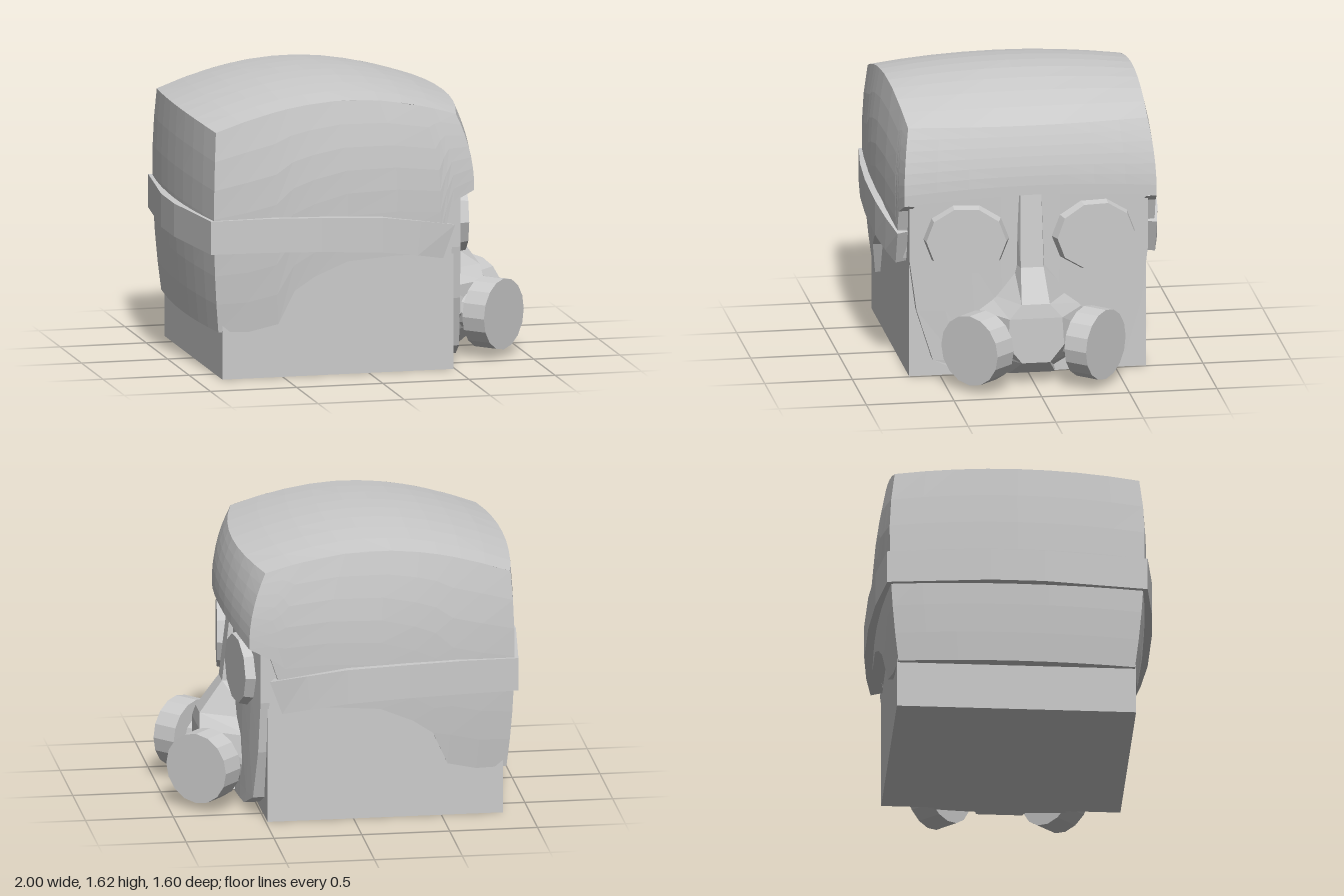
import * as THREE from 'three';

const mat = new THREE.MeshStandardMaterial({ color: 0xcccccc, flatShading: true, side: THREE.DoubleSide });
const lerp = THREE.MathUtils.lerp;
const steps = (a, b, n) => Array.from({ length: n + 1 }, (_, i) => lerp(a, b, i / n));

// Skin a list of cross-sections, each a list of [x, y, z]
function skin(rows) {
  const n = rows[0].length, index = [];
  for (let i = 0; i < rows.length - 1; i++)
    for (let j = 0; j < n - 1; j++) {
      const a = i * n + j, b = a + n;
      index.push(a, b, b + 1, a, b + 1, a + 1);
    }
  const g = new THREE.BufferGeometry();
  g.setAttribute('position', new THREE.Float32BufferAttribute(rows.flat(2), 3));
  g.setIndex(index);
  const flat = g.toNonIndexed();
  flat.computeVertexNormals();
  return flat;
}

// Bulged helmet walls: u runs back to front, w runs right to left
const bulge = (w) => 1 - w * w;
const frontX = (y, w) => 0.5 + 0.07 * bulge(w) + 0.1 * bulge(Math.max(0, y - 0.06 * bulge(w) - 1.05) / 0.42);
const backX = (y, w) => -0.88 - 0.05 * bulge(w) - 0.03 * bulge((y - 0.06 * bulge(w) - 0.95) / 0.6);
const sideZ = (u, y) => 0.665 + 0.045 * bulge(2 * u - 1) + 0.055 * bulge((y - 1.05) / (y > 1.05 ? 0.5 : 0.8));
function wall(u, w, y) {
  return [lerp(backX(y, w), frontX(y, w), u), y, w * sideZ(u, y)];
}
function topY(u, w) {
  const x = lerp(backX(1.45, w), frontX(1.47, w), u);
  return 1.575 - (x > -0.1 ? 0.31 : 0.25) * (x + 0.1) ** 2 + 0.05 * bulge(w);
}

// Lower edge of the helmet side as [x, y]
const sideEdge = [[-0.9, 0.27], [-0.72, 0.27], [-0.55, 0.31], [-0.45, 0.5], [-0.33, 0.58], [-0.14, 0.66],
  [0.15, 0.68], [0.4, 0.67], [0.44, 0.85], [0.48, 0.97], [0.6, 1.03]].map(([x, y]) => [(x + 0.9) / 1.5, y]);

export function createModel() {
  const model = new THREE.Group();
  const add = (name, geometry, parent = model) => {
    const mesh = new THREE.Mesh(geometry, mat);
    mesh.name = name;
    parent.add(mesh);
    return mesh;
  };

  // Head block
  add('head', new THREE.BoxGeometry(1.34, 1.3, 1.35).translate(-0.18, 0.65, 0));

  // Helmet shell
  const helmet = new THREE.Group();
  helmet.name = 'helmet';
  model.add(helmet);
  const ws = steps(-1, 1, 8), us = steps(0, 1, 10), ts = steps(0, 1, 7);
  const browY = (w) => 1.03 + 0.06 * bulge(w);
  add('helmetTop', skin(ws.map((w) => us.map((u) => wall(u, w, topY(u, w))))), helmet);
  add('helmetFront', skin(ts.map((t) => ws.map((w) => wall(1, w, lerp(browY(w), topY(1, w), t))))), helmet);
  add('helmetBack', skin(ws.map((w) => ts.map((t) => wall(0, w, lerp(0.27, topY(0, w), t))))), helmet);
  add('browRim', skin(ws.map((w) => {
    const [x, y, z] = wall(1, w, browY(w));
    return [[x, y, z], [x - 0.13, y - 0.01, z]];
  })), helmet);
  add('napeRim', skin(ws.map((w) => {
    const p = wall(0, w, 0.27);
    return [[-0.84, 0.27, p[2]], p];
  })), helmet);
  for (const s of [1, -1]) {
    const side = sideEdge.map(([u, y]) => ts.map((t) => wall(u, s, lerp(y, topY(u, s), t))));
    const rim = side.map((col) => [[col[0][0], col[0][1], s * 0.66], col[0]]);
    if (s < 0) { side.reverse(); rim.reverse(); }
    const label = s > 0 ? 'left' : 'right';
    add(label + 'HelmetSide', skin(side), helmet);
    add(label + 'HelmetRim', skin(rim), helmet);
  }

  // Band around the back and sides: x, z, bottom, top, bottom setback
  const half = [[-1, 0.15, 0.73, 0.92, 0], [-0.93, 0.735, 0.73, 0.92, 0], [-0.6, 0.78, 0.735, 0.93, 0],
    [-0.3, 0.8, 0.73, 0.925, 0], [0.05, 0.8, 0.71, 0.91, 0], [0.28, 0.775, 0.68, 0.875, 0.02], [0.485, 0.74, 0.65, 0.84, 0.07]];
  const path = [...half.map(([x, z, ...r]) => [x, -z, ...r]).reverse(), ...half];
  const band = path.map(([x, z, lo, hi, d]) => [
    [x - d, lo, z], [x, hi, z], [x * 0.92, hi, z * 0.9], [x * 0.92 - d, lo, z * 0.9], [x - d, lo, z]]);
  const cap = (ring) => ring.map(() => [0, 1, 2].map((k) => (ring[0][k] + ring[2][k]) / 2));
  add('band', skin([cap(band[0]), ...band, cap(band[band.length - 1])]));

  // Mask plate: rows of [y, half width]
  const mask = new THREE.Group();
  mask.name = 'mask';
  model.add(mask);
  const plate = [[0.03, 0.37], [0.11, 0.55], [0.4, 0.64], [0.7, 0.68], [1.08, 0.68]].map(([y, h]) => [
    [0.48, y, -h],
    ...steps(-1, 1, 8).map((w) => [0.53 + 0.07 * bulge(w * h / 0.68), y, w * h]),
    [0.48, y, h]]);
  plate.unshift(plate[0].map(([, y, z]) => [0.48, y, z]));
  add('maskPlate', skin(plate), mask);

  // Nose ridge widening into the snout: y, front half width, base half width, front x
  const snout = [[0.04, 0.13, 0.15, 0.53], [0.04, 0.13, 0.15, 0.65], [0.14, 0.08, 0.32, 0.8], [0.24, 0.16, 0.37, 0.8],
    [0.4, 0.15, 0.33, 0.8], [0.48, 0.08, 0.23, 0.79], [0.66, 0.065, 0.09, 0.66], [1.09, 0.06, 0.085, 0.61]];
  add('snout', skin(snout.map(([y, f, b, x]) => [[0.53, y, -b], [x, y, -f], [x, y, f], [0.53, y, b]])), mask);

  // Eye lenses and filter canisters
  for (const s of [1, -1]) {
    const label = s > 0 ? 'left' : 'right';
    const lens = add(label + 'Lens',
      new THREE.CylinderGeometry(0.195, 0.213, 0.08, 10).rotateZ(-Math.PI / 2).scale(1, 1, 1.16), mask);
    lens.position.set(0.59, 0.82, s * 0.365);
    lens.rotation.y = -s * 0.12;

    const filter = new THREE.Group();
    filter.name = label + 'Filter';
    filter.position.set(0.805, 0.245, s * 0.335);
    filter.rotation.y = -s * 0.83;
    mask.add(filter);
    add('canister', new THREE.CylinderGeometry(0.203, 0.203, 0.146, 16).rotateZ(-Math.PI / 2), filter);
    add('connector', new THREE.CylinderGeometry(0.1, 0.1, 0.16, 10).rotateZ(-Math.PI / 2).translate(-0.13, 0, 0), filter);
  }
  return model;
}
